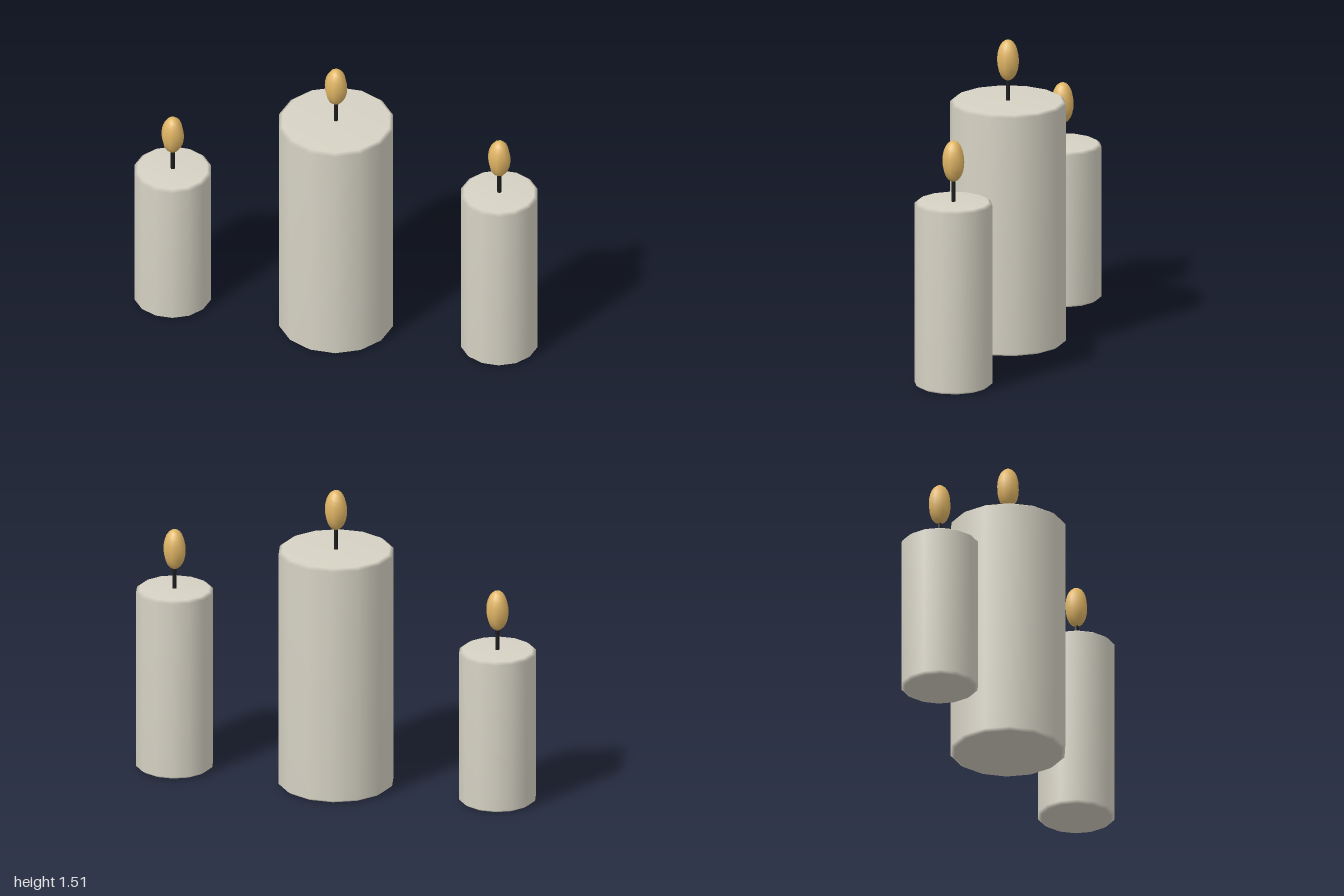
import * as THREE from 'three';

const wax = new THREE.MeshStandardMaterial({ name: 'wax', color: 0xd6d2c4 });
const wickBlack = new THREE.MeshStandardMaterial({ name: 'wickBlack', color: 0x1c1c1c });
const flameGold = new THREE.MeshStandardMaterial({ name: 'flameGold', color: 0xe0b565 });

const SIDES = 14;
const WICK_LENGTH = 0.1;
const FLAME_HEIGHT = 0.204;
const FLAME_RADIUS = 0.056;

function addPart(group, name, geometry, material, y = 0) {
  const mesh = new THREE.Mesh(geometry, material);
  mesh.name = name;
  mesh.position.y = y;
  group.add(mesh);
}

function createCandle(name, x, radius, height) {
  const candle = new THREE.Group();
  candle.name = name;
  candle.position.x = x;

  // Wax pillar with a small chamfer at both rims, shaded smoothly
  const profile = [
    [0, 0], [radius - 0.018, 0], [radius, 0.013],
    [radius, height - 0.013], [radius - 0.018, height], [0, height],
  ].map(([r, y]) => new THREE.Vector2(r, y));
  addPart(candle, 'waxPillar', new THREE.LatheGeometry(profile, SIDES, Math.PI / 2), wax);

  // Wick, running slightly into the wax and the flame
  addPart(candle, 'wick', new THREE.CylinderGeometry(0.0105, 0.0105, WICK_LENGTH + 0.04, 8),
    wickBlack, height + WICK_LENGTH / 2);

  // Stretched ball for the flame
  const flame = new THREE.SphereGeometry(1, 8, 12);
  flame.scale(FLAME_RADIUS, FLAME_HEIGHT / 2, FLAME_RADIUS);
  addPart(candle, 'flame', flame, flameGold, height + WICK_LENGTH + FLAME_HEIGHT / 2);
  return candle;
}

export function createModel() {
  const model = new THREE.Group();
  model.name = 'candles';
  model.add(
    createCandle('shortCandle', -0.811, 0.189, 0.777),
    createCandle('tallCandle', 0, 0.282, 1.21),
    createCandle('mediumCandle', 0.811, 0.189, 0.921),
  );
  return model;
}
